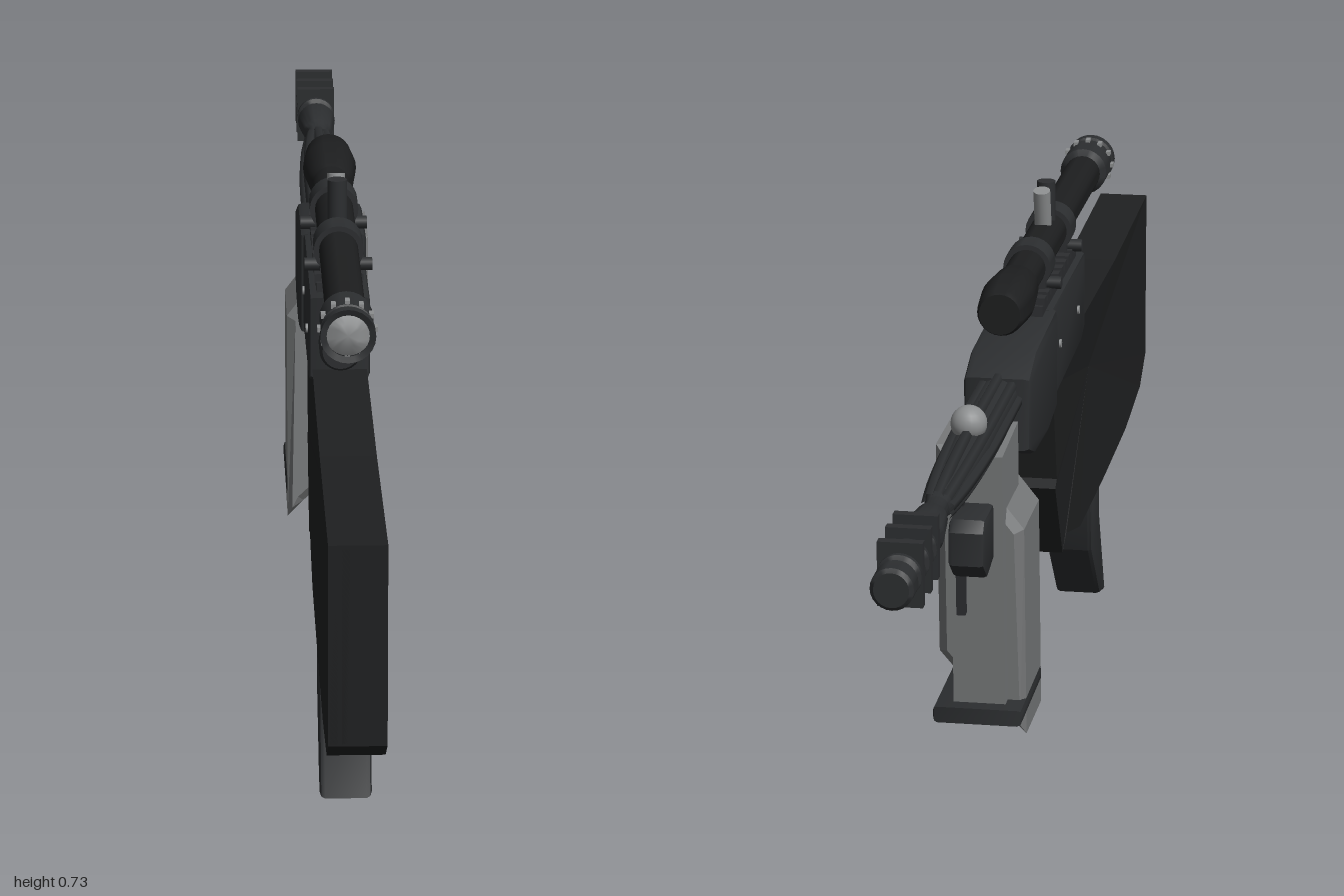
import * as THREE from 'three';
import { ConvexGeometry } from 'three/addons/geometries/ConvexGeometry.js';
import { toCreasedNormals } from 'three/addons/utils/BufferGeometryUtils.js';

const mat = (color, extra = {}) => new THREE.MeshStandardMaterial({ color, ...extra });
const dark = mat(0x2c2e30);
const black = mat(0x1d1e1f);
const stockMat = mat(0x1f2021, { flatShading: true, side: THREE.DoubleSide });
const grey = mat(0x77797a, { flatShading: true });
const light = mat(0x8c8e8f);

export function createModel() {
  const model = new THREE.Group();

  const add = (name, geometry, material = dark, x = 0, y = 0, z = 0) => {
    const mesh = new THREE.Mesh(geometry, material);
    mesh.name = name;
    mesh.position.set(x, y, z);
    model.add(mesh);
    return mesh;
  };
  const box = (name, w, h, d, x, y, z, material) =>
    add(name, new THREE.BoxGeometry(w, h, d), material, x, y, z);

  // Outline given as [z, y], extruded across x with rounded edges
  const slab = (name, outline, halfWidth, bevel, material) => {
    const shape = new THREE.Shape(outline.map(([z, y]) => new THREE.Vector2(-z, y)));
    const geo = new THREE.ExtrudeGeometry(shape, {
      depth: 2 * (halfWidth - bevel), bevelEnabled: true, bevelSize: bevel,
      bevelThickness: bevel, bevelOffset: -bevel, bevelSegments: 2,
    });
    geo.translate(0, 0, bevel - halfWidth).rotateY(Math.PI / 2);
    return add(name, toCreasedNormals(geo, 0.6), material);
  };

  // Turned part along z: profile given as [z, radius], listed from +z to -z
  const turned = (name, profile, y, material, sides = 24) => {
    const pts = profile.map(([z, r]) => new THREE.Vector2(r, -z));
    const geo = new THREE.LatheGeometry(pts, sides).rotateX(-Math.PI / 2);
    return add(name, toCreasedNormals(geo, 0.6), material, 0, y, 0);
  };

  // Stock: closed outline with facets fanning into a pinched waist on each side
  const rim = [[1, 0.508], [1, 0.25], [0.94, 0.214], [0.78, 0.195], [0.55, 0.192], [0.3, 0.195],
    [0.165, 0.23], [0.13, 0.212], [0.06, 0.33], [0.075, 0.34], [0.035, 0.49], [0.31, 0.506], [0.65, 0.5]];
  const verts = [];
  const half = 0.036;
  rim.forEach(([z, y], i) => {
    const [z2, y2] = rim[(i + 1) % rim.length];
    verts.push(half, y, z, half, y2, z2, 0.024, 0.39, 0.46);
    verts.push(-half, y2, z2, -half, y, z, -0.024, 0.39, 0.46);
    verts.push(half, y2, z2, half, y, z, -half, y, z);
    verts.push(half, y2, z2, -half, y, z, -half, y2, z2);
  });
  const stockGeo = new THREE.BufferGeometry();
  stockGeo.setAttribute('position', new THREE.Float32BufferAttribute(verts, 3));
  stockGeo.computeVertexNormals();
  add('stock', stockGeo, stockMat);

  // Raised fold on the left of the stock
  add('stockFold', new ConvexGeometry([
    [0.034, 0.49, 0.28], [0.053, 0.28, 0.5], [0.02, 0.4, 0.48], [0.032, 0.27, 0.3], [0.03, 0.24, 0.52],
  ].map((p) => new THREE.Vector3(...p))), stockMat);

  // Ribs on the butt end
  for (let i = -2; i <= 2; i++) box('buttRib', 0.009, 0.25, 0.012, i * 0.0145, 0.378, 0.994, black);

  // Raked pistol grip
  slab('grip', [[0.51, 0.22], [0.515, 0.145], [0.575, 0.003], [0.53, 0.012], [0.44, 0.11], [0.42, 0.22]],
    0.034, 0.007, dark);

  // Receiver and its front housing
  slab('receiver', [[0.315, 0.605], [0.315, 0.495], [0.28, 0.48], [0.01, 0.47], [0.01, 0.605]], 0.04, 0.006);
  slab('frontHousing', [[0.02, 0.605], [0.02, 0.463], [-0.06, 0.45], [-0.17, 0.455],
    [-0.222, 0.475], [-0.222, 0.575], [-0.16, 0.598]], 0.046, 0.01);
  turned('boltCap', [[0.36, 0], [0.36, 0.024], [0.354, 0.028], [0.3, 0.028]], 0.545);
  for (const s of [-1, 1]) {
    for (const z of [0.07, 0.24]) {
      const screw = add('receiverScrew', new THREE.CylinderGeometry(0.006, 0.006, 0.004, 12), light, s * 0.041, 0.54, z);
      screw.rotation.z = Math.PI / 2;
    }
  }

  // Curved trigger lever below the housing
  const lever = new THREE.CatmullRomCurve3([[-0.06, 0.452], [-0.09, 0.438], [-0.14, 0.45], [-0.195, 0.45]]
    .map(([z, y]) => new THREE.Vector3(0, y, z)));
  add('triggerLever', new THREE.TubeGeometry(lever, 12, 0.007, 8));

  // Scope rail with cross slots
  box('scopeRail', 0.06, 0.016, 0.31, 0, 0.61, 0.135);
  for (let i = 0; i < 10; i++) box('railTooth', 0.064, 0.012, 0.018, 0, 0.622, 0.275 - i * 0.031);

  // Scope tube, bell and eyepiece
  const sy = 0.657;
  turned('scopeTube', [[0.57, 0.026], [-0.06, 0.026]], sy, black);
  turned('scopeBell', [[-0.045, 0.026], [-0.06, 0.031], [-0.13, 0.037], [-0.19, 0.032], [-0.2, 0.028], [-0.2, 0]], sy, black);
  turned('eyepiece', [[0.645, 0.027], [0.648, 0.035], [0.632, 0.035], [0.63, 0.031], [0.622, 0.031],
    [0.62, 0.034], [0.565, 0.034], [0.555, 0.026]], sy);
  turned('eyepieceLens', [[0.646, 0], [0.643, 0.015], [0.635, 0.029]], sy, light);
  for (let i = 0; i < 12; i++) {
    const a = (i / 12) * Math.PI * 2;
    box('eyepieceStud', 0.006, 0.006, 0.014, Math.cos(a) * 0.035, sy + Math.sin(a) * 0.035, 0.612, light);
  }

  // Scope mounts
  for (const z of [0.25, 0.055]) {
    turned('mountRing', [[z + 0.022, 0.025], [z + 0.022, 0.033], [z - 0.022, 0.033], [z - 0.022, 0.025]], sy);
    box('mountFoot', 0.05, 0.025, 0.044, 0, 0.628, z);
    for (const s of [-1, 1]) {
      const clamp = add('mountClamp', new THREE.CylinderGeometry(0.009, 0.009, 0.02, 12), dark, s * 0.035, 0.632, z);
      clamp.rotation.z = Math.PI / 2;
    }
  }

  // Adjusting knobs on top of the scope
  add('rearKnob', new THREE.CylinderGeometry(0.013, 0.013, 0.06, 16), dark, 0, 0.706, 0.207);
  const knob = add('frontKnob', new THREE.CylinderGeometry(0.012, 0.012, 0.055, 16), light, 0, 0.706, 0.172);
  knob.rotation.x = -0.25;

  // Barrel shroud with raised ribs
  const by = 0.545;
  turned('barrelShroud', [[-0.21, 0.029], [-0.45, 0.029], [-0.66, 0.02], [-0.685, 0.016]], by);
  for (let i = 0; i < 8; i++) {
    const a = (i / 8) * Math.PI * 2;
    const path = new THREE.CatmullRomCurve3([[-0.21, 0.027], [-0.45, 0.027], [-0.6, 0.021], [-0.68, 0.014]]
      .map(([z, r]) => new THREE.Vector3(Math.cos(a) * r, by + Math.sin(a) * r, z)));
    add('shroudRib', new THREE.TubeGeometry(path, 12, 0.008, 6));
  }
  add('frontBead', new THREE.SphereGeometry(0.024, 20, 14), light, 0, 0.582, -0.445);

  // Muzzle with cross fins
  turned('muzzle', [[-0.67, 0.016], [-0.715, 0.016], [-0.725, 0.021], [-0.79, 0.028], [-0.81, 0.022],
    [-0.96, 0.022], [-0.965, 0.027], [-0.995, 0.027], [-1, 0.022], [-1, 0]], by);
  for (const z of [-0.83, -0.88, -0.935]) {
    box('muzzleFin', 0.056, 0.082, 0.014, 0, by, z);
    turned('muzzleCollar', [[z + 0.018, 0.022], [z + 0.014, 0.028], [z - 0.014, 0.028], [z - 0.018, 0.022]], by);
  }

  // Magazine: slanted section swept along z, then raked backward toward the bottom
  const section = new THREE.Shape([[0.058, 0.525], [0.035, 0.525], [-0.035, 0.44], [-0.058, 0.41], [-0.058, 0.115],
    [-0.035, 0.138], [0.04, 0.208], [0.058, 0.23]].map((p) => new THREE.Vector2(...p)));
  const magGeo = new THREE.ExtrudeGeometry(section, {
    depth: 0.126, bevelEnabled: true, bevelSize: 0.012, bevelThickness: 0.012, bevelOffset: -0.012, bevelSegments: 1,
  });
  const pos = magGeo.attributes.position;
  for (let i = 0; i < pos.count; i++) pos.setZ(i, pos.getZ(i) - 0.363 + (0.525 - pos.getY(i)) * 0.07);
  magGeo.computeVertexNormals();
  add('magazine', magGeo, grey);
  box('magazineCore', 0.07, 0.36, 0.13, 0, 0.345, -0.315, grey).rotation.x = -0.07;
  slab('magazineBase', [[-0.215, 0.17], [-0.215, 0.148], [-0.39, 0.145], [-0.39, 0.167]], 0.06, 0.006);

  // Magazine catch and strip on the forward face
  slab('magazineCatch', [[-0.39, 0.455], [-0.39, 0.38], [-0.44, 0.37], [-0.472, 0.395], [-0.472, 0.44], [-0.46, 0.455]], 0.024, 0.006);
  box('magazineStrip', 0.012, 0.2, 0.012, 0.02, 0.4, -0.397).rotation.x = -0.07;
  return model;
}
